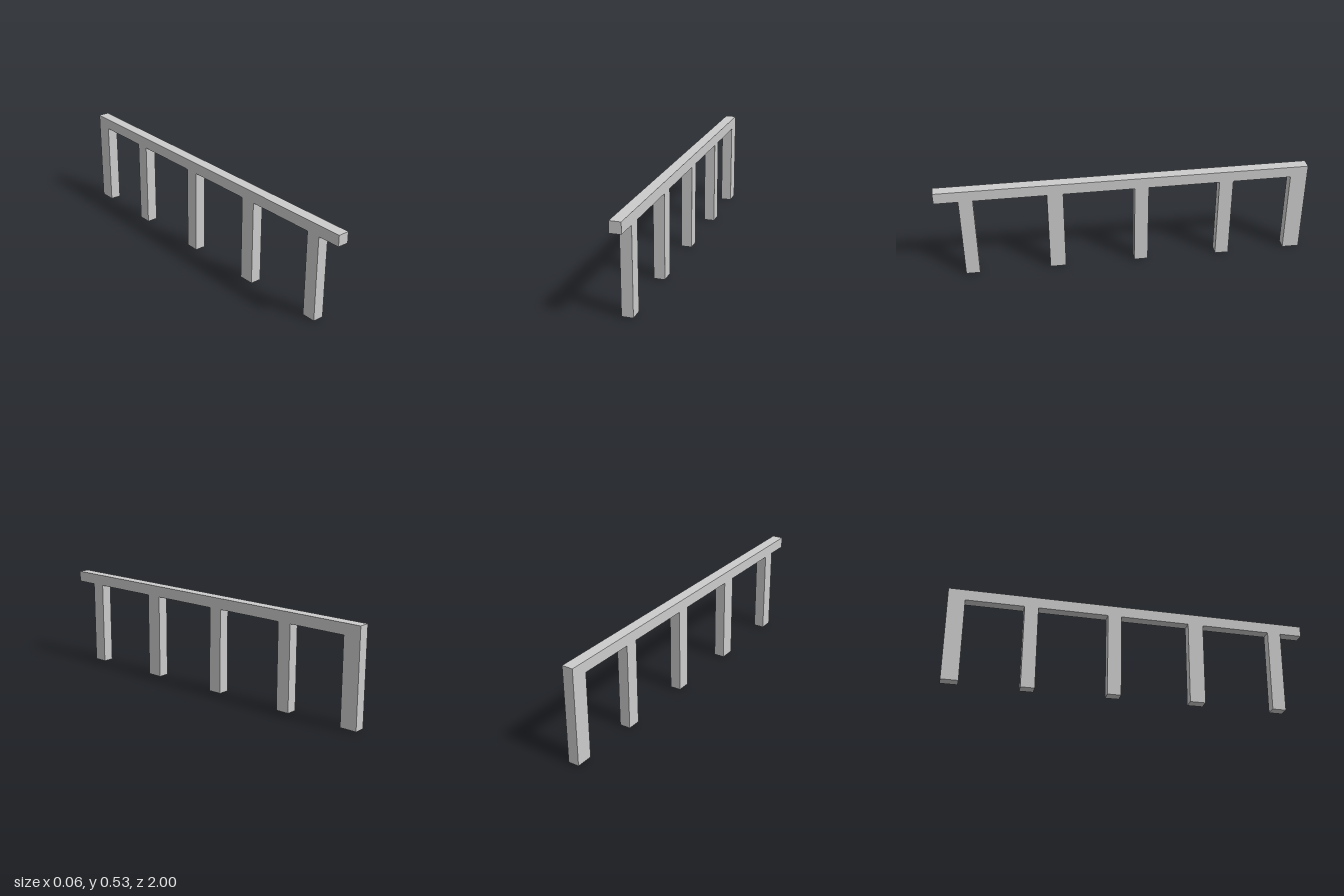
import * as THREE from 'three';

const WIDTH = 0.06, RAIL_TOP = 0.53, RAIL_BOTTOM = 0.47;

// Posts from front to back: front z, back z, foot height
const POSTS = [
  [0.874, 0.798, 0.004],
  [0.412, 0.326, 0.004],
  [-0.056, -0.131, 0.004],
  [-0.516, -0.591, 0],
  [-0.908, -1, 0.004],
];

export function createModel() {
  const group = new THREE.Group();
  group.name = 'railing';

  // Side outline of rail and posts in one piece, drawn with -z to the right
  const outline = new THREE.Shape();
  outline.moveTo(-1, RAIL_TOP);
  outline.lineTo(-1, RAIL_BOTTOM);
  for (const [front, back, foot] of POSTS) {
    outline.lineTo(-front, RAIL_BOTTOM);
    outline.lineTo(-front, foot);
    outline.lineTo(-back, foot);
    if (back > -1) outline.lineTo(-back, RAIL_BOTTOM); // the last post is flush with the rail end
  }
  outline.lineTo(1, RAIL_TOP);
  outline.closePath();

  // Extrude across the width and turn to run along z
  const geometry = new THREE.ExtrudeGeometry(outline, { depth: WIDTH, bevelEnabled: false });
  geometry.translate(0, 0, -WIDTH / 2).rotateY(Math.PI / 2);

  const mesh = new THREE.Mesh(geometry, new THREE.MeshStandardMaterial({ color: 0xcccccc, flatShading: true }));
  mesh.name = 'railAndPosts';
  group.add(mesh);
  return group;
}
